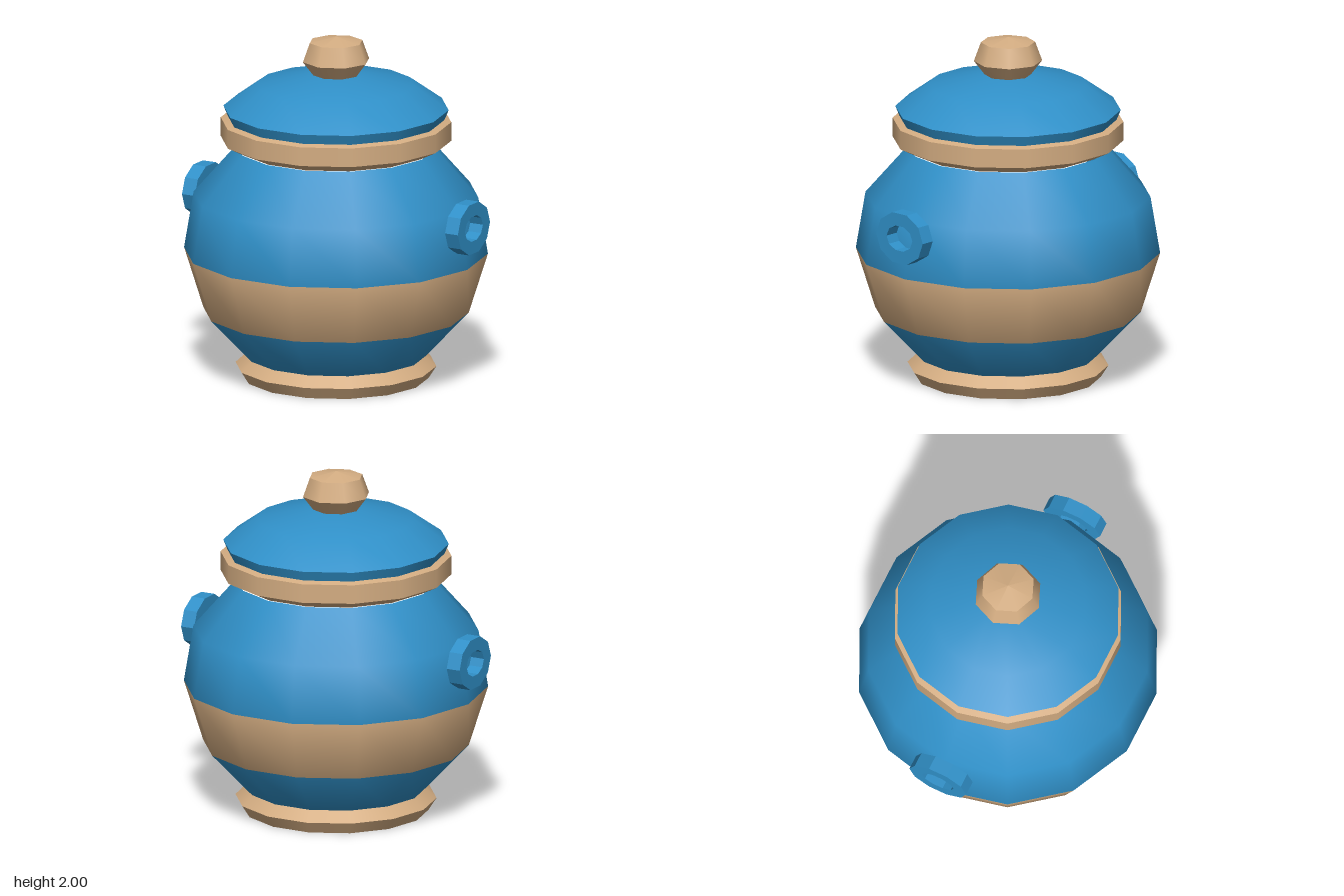
import * as THREE from 'three';

const SIDES = 14;

export function createModel() {
  const blue = new THREE.MeshStandardMaterial({ color: 0x3090c8 });
  blue.name = 'blue glaze';
  const tan = new THREE.MeshStandardMaterial({ color: 0xd4ad82 });
  tan.name = 'tan clay';

  const model = new THREE.Group();
  model.name = 'lidded jar';

  // Turned profile, listed bottom to top as [radius, height]
  const turn = (profile, sides = SIDES) =>
    new THREE.LatheGeometry(profile.map(([r, y]) => new THREE.Vector2(r, y)), sides, Math.PI / 2);

  // Several turned bands with sharp edges between them
  const addTurned = (name, material, bands, sides) => {
    const part = new THREE.Group();
    part.name = name;
    bands.forEach((band, i) => {
      const mesh = new THREE.Mesh(turn(band, sides), material);
      mesh.name = `${name}Band${i + 1}`;
      part.add(mesh);
    });
    model.add(part);
  };

  // Foot
  addTurned('foot', tan, [
    [[0, 0], [0.53, 0]],
    [[0.53, 0], [0.575, 0.07]],
    [[0.575, 0.07], [0.51, 0.13]],
  ]);

  // Belly: one smooth surface, its second row of faces is the tan stripe
  const belly = turn([[0.515, 0.13], [0.76, 0.39], [0.87, 0.74], [0.815, 1.07], [0.57, 1.35]]);
  const rows = 4;
  const source = Array.from(belly.index.array);
  const sorted = [];
  for (let row = 0; row < rows; row++) {
    for (let i = 0; i < SIDES; i++) {
      const start = (i * rows + row) * 6;
      sorted.push(...source.slice(start, start + 6));
    }
    belly.addGroup(row * SIDES * 6, SIDES * 6, row === 1 ? 1 : 0);
  }
  belly.setIndex(sorted);
  const bellyMesh = new THREE.Mesh(belly, [blue, tan]);
  bellyMesh.name = 'belly';
  model.add(bellyMesh);

  // Rim
  addTurned('rim', tan, [
    [[0.56, 1.35], [0.66, 1.4]],
    [[0.66, 1.4], [0.66, 1.51]],
    [[0.66, 1.51], [0.61, 1.525]],
  ]);

  // Lid
  addTurned('lid', blue, [
    [[0.62, 1.52], [0.645, 1.58]],
    [[0.645, 1.58], [0.45, 1.72], [0.15, 1.78], [0, 1.78]],
  ]);

  // Knob
  addTurned('knob', tan, [
    [[0.13, 1.775], [0.195, 1.86]],
    [[0.195, 1.86], [0.155, 1.97]],
    [[0.155, 1.97], [0, 2]],
  ], 8);

  // Ring handles: flattened ten-sided rings on both sides
  const oval = (rx, ry) => Array.from({ length: 10 }, (_, i) => {
    const a = (i / 10) * Math.PI * 2;
    return new THREE.Vector2(rx * Math.cos(a), ry * Math.sin(a));
  });
  const ring = new THREE.Shape(oval(0.18, 0.154));
  ring.holes.push(new THREE.Path(oval(0.1, 0.076)));
  const handle = new THREE.ExtrudeGeometry(ring, { depth: 0.085, bevelEnabled: false });
  for (const side of [1, -1]) {
    const mesh = new THREE.Mesh(handle, blue);
    mesh.name = side > 0 ? 'leftHandle' : 'rightHandle';
    mesh.rotation.y = side * Math.PI / 2;
    mesh.position.set(side * 0.83, 0.99, 0);
    model.add(mesh);
  }

  return model;
}
